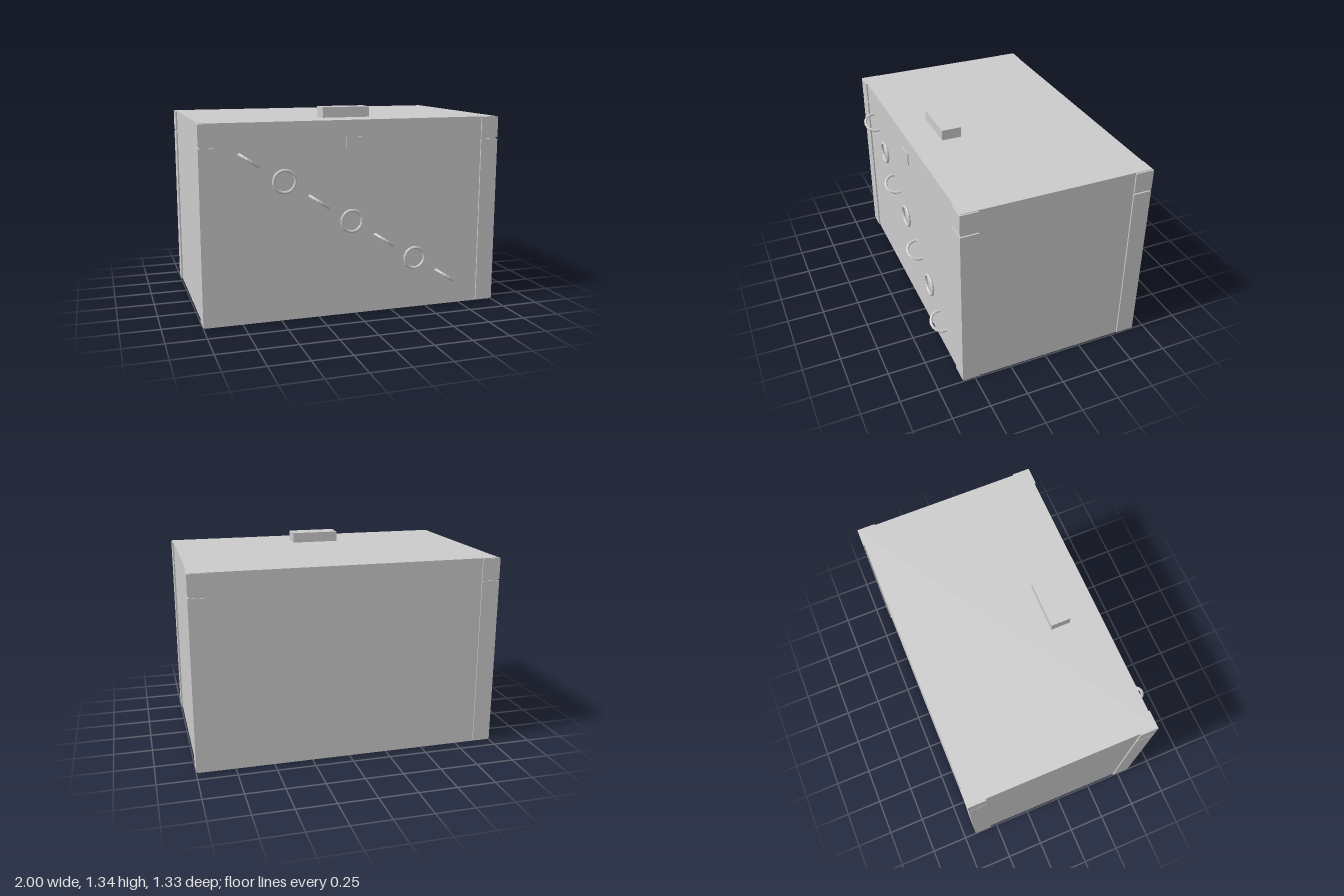
import * as THREE from 'three';

const material = new THREE.MeshStandardMaterial({ color: 0xcccccc, flatShading: true });

export function createModel() {
  const group = new THREE.Group();
  group.name = 'chest';

  // Box given by its minimum and maximum corners
  const box = (name, [x0, y0, z0], [x1, y1, z1]) => {
    const mesh = new THREE.Mesh(new THREE.BoxGeometry(x1 - x0, y1 - y0, z1 - z0), material);
    mesh.position.set((x0 + x1) / 2, (y0 + y1) / 2, (z0 + z1) / 2);
    mesh.name = name;
    group.add(mesh);
  };

  // Main body, lid handle and front plate
  box('body', [-0.99, 0, -0.66], [0.99, 1.27, 0.573]);
  box('lidHandle', [-0.16, 1.27, 0.24], [0.16, 1.338, 0.37]);
  box('frontPlate', [-0.07, 1.085, 0.56], [0.065, 1.165, 0.58]);

  // Corner guards: a long lower post and a short cap above a narrow gap
  for (const side of [-1, 1]) {
    const x0 = side > 0 ? 0.88 : -1;
    for (const [end, z0, z1] of [['front', 0.465, 0.583], ['back', -0.667, -0.546]]) {
      box(end + 'CornerPost', [x0, 0.007, z0], [x0 + 0.12, 1.12, z1]);
      box(end + 'CornerCap', [x0, 1.13, z0], [x0 + 0.12, 1.267, z1]);
    }
  }

  // Diagonal chain: links alternate between edge-on and flat to the front
  const linkGeometry = new THREE.TorusGeometry(0.07, 0.01, 8, 16);
  const chain = new THREE.Group();
  chain.name = 'chain';
  for (let i = 0; i < 7; i++) {
    const link = new THREE.Mesh(linkGeometry, material);
    link.name = 'chainLink';
    link.position.set(-0.695 + i * 0.221, 1.04 - i * 0.139, 0.587);
    link.rotation.set(i % 2 ? 0 : Math.PI / 2, 0, -0.58, 'ZXY');
    chain.add(link);
  }
  group.add(chain);

  return group;
}
